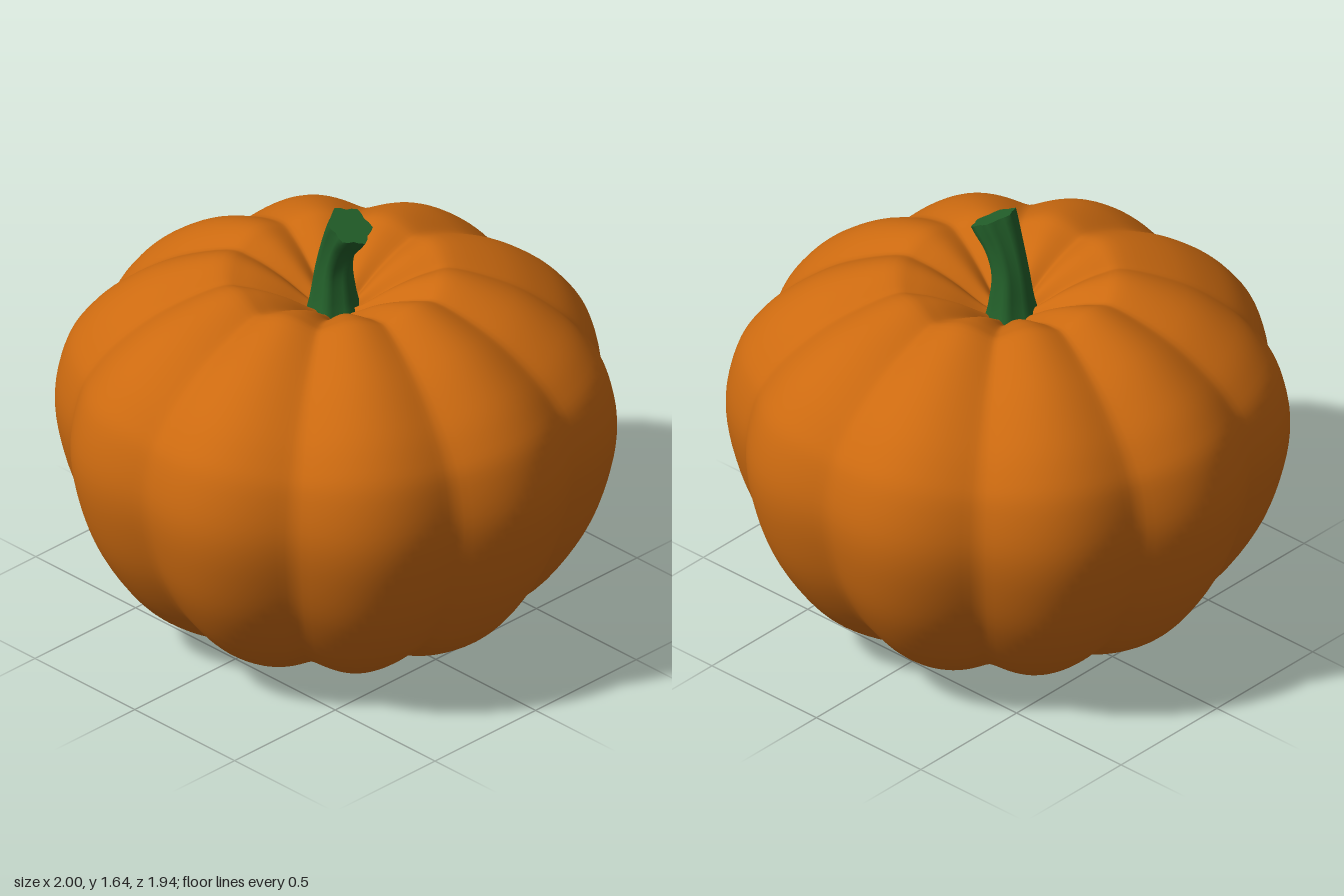
import * as THREE from 'three';
import { mergeVertices } from 'three/addons/utils/BufferGeometryUtils.js';

const RIBS = 10;

// Ribbed body: a lathe whose surface is pressed inward along ten grooves
function createBody() {
  const profile = new THREE.SplineCurve([
    [0, 0.17], [0.08, 0.14], [0.2, 0.065], [0.32, 0.015], [0.43, 0], [0.6, 0.08],
    [0.76, 0.21], [0.9, 0.42], [0.975, 0.63], [1, 0.82], [0.965, 1.0], [0.9, 1.11],
    [0.8, 1.21], [0.64, 1.315], [0.43, 1.39], [0.32, 1.375], [0.2, 1.32], [0.08, 1.24], [0, 1.21],
  ].map(([r, y]) => new THREE.Vector2(r, y)));
  const rows = 80;
  const points = profile.getPoints(rows);
  points[0].x = points[rows].x = 0;
  const geometry = new THREE.LatheGeometry(points, RIBS * 20);
  const pos = geometry.attributes.position;
  for (let i = 0; i < pos.count; i++) {
    const j = i % (rows + 1);
    const segment = Math.floor(i / (rows + 1));
    const phi = (segment % (RIBS * 20)) / (RIBS * 20) * Math.PI * 2;
    const t = profile.getTangent(j / rows);
    // rounded lobes with a narrow, slightly softened valley
    const s = Math.sin(phi * RIBS / 2);
    const lobe = (Math.sqrt(s * s + 0.012) - 0.11) / 0.896;
    const r0 = points[j].x;
    const depth = 0.056 * Math.sqrt(r0) * (1 - lobe);
    const r = Math.max(0, r0 - t.y * depth);
    pos.setXYZ(i, r * Math.sin(phi), points[j].y + t.x * depth, r * Math.cos(phi));
  }
  geometry.deleteAttribute('normal');
  geometry.deleteAttribute('uv');
  const smooth = mergeVertices(geometry, 1e-5);
  smooth.computeVertexNormals();
  const mesh = new THREE.Mesh(smooth, new THREE.MeshStandardMaterial({ color: 0xcc6a10 }));
  mesh.name = 'body';
  return mesh;
}

// Bent stem: six-ridged cross-sections swept along a curve, with a flat cut top
function createStem() {
  const path = new THREE.CatmullRomCurve3([
    [-0.015, 1.18], [-0.015, 1.28], [-0.01, 1.4], [0.02, 1.5], [0.07, 1.592],
  ].map(([x, y]) => new THREE.Vector3(x, y, 0)));
  const radius = new THREE.SplineCurve([0.105, 0.082, 0.066, 0.068, 0.083]
    .map((r, i) => new THREE.Vector2(i / 4, r)));
  const rows = 16, sides = 24;
  const ring = [];
  const positions = [], index = [];
  for (let i = 0; i <= rows; i++) {
    const u = i / rows;
    const c = path.getPoint(u), t = path.getTangent(u), R = radius.getPoint(u).y;
    for (let k = 0; k < sides; k++) {
      const a = k / sides * Math.PI * 2;
      const r = R * (0.95 + 0.1 * Math.cos(6 * a));
      const across = r * Math.cos(a);
      const p = [c.x + t.y * across, c.y - t.x * across, r * Math.sin(a)];
      positions.push(...p);
      if (i === rows) ring.push(p);
      if (i < rows) {
        const n = (k + 1) % sides;
        const A = i * sides + k, B = i * sides + n, C = A + sides, D = B + sides;
        index.push(A, C, B, B, C, D);
      }
    }
  }
  const side = new THREE.BufferGeometry();
  side.setAttribute('position', new THREE.Float32BufferAttribute(positions, 3));
  side.setIndex(index);
  side.computeVertexNormals();

  // cut end
  const cap = new THREE.BufferGeometry();
  const centre = path.getPoint(1);
  cap.setAttribute('position', new THREE.Float32BufferAttribute([...ring.flat(), ...centre.toArray()], 3));
  cap.setIndex(ring.flatMap((_, k) => [sides, (k + 1) % sides, k]));
  cap.computeVertexNormals();

  const material = new THREE.MeshStandardMaterial({ color: 0x23602a });
  const stem = new THREE.Group();
  stem.name = 'stem';
  [[side, 'stemSide'], [cap, 'stemCut']].forEach(([geometry, name]) => {
    const mesh = new THREE.Mesh(geometry, material);
    mesh.name = name;
    stem.add(mesh);
  });
  return stem;
}

export function createModel() {
  const model = new THREE.Group();
  model.name = 'pumpkin';
  model.add(createBody(), createStem());
  return model;
}
